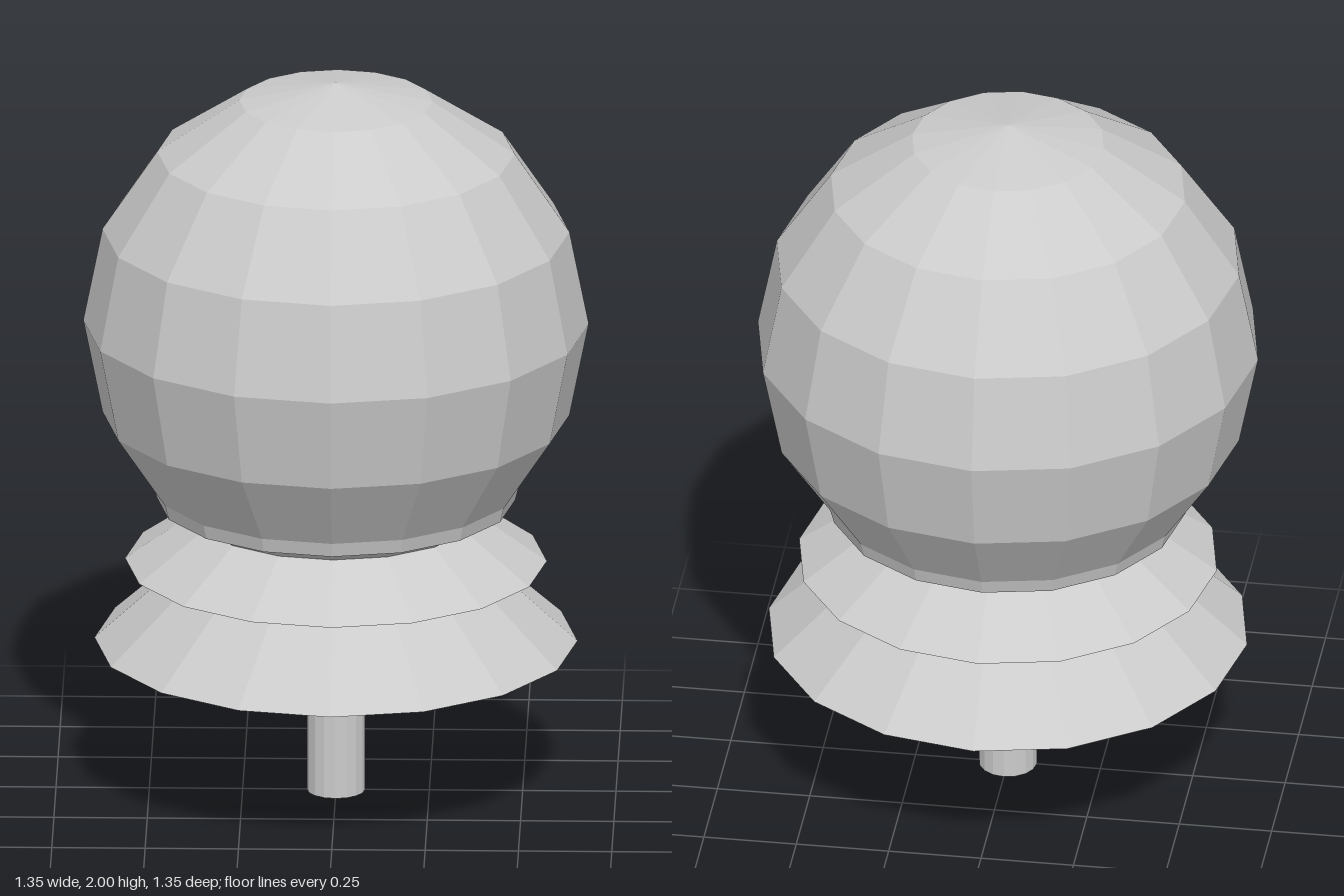
import * as THREE from 'three';

const SIDES = 16;

export function createModel() {
  const model = new THREE.Group();
  model.name = 'globeLamp';
  const solid = new THREE.MeshStandardMaterial({ color: 0xcccccc, flatShading: true });
  const thin = new THREE.MeshStandardMaterial({ color: 0xcccccc, flatShading: true, side: THREE.DoubleSide });

  function add(name, geometry, material, y) {
    const mesh = new THREE.Mesh(geometry, material);
    mesh.name = name;
    mesh.position.y = y;
    model.add(mesh);
  }

  // Faceted ring or column between two heights
  function frustum(name, rTop, yTop, rBottom, yBottom, open) {
    const geometry = new THREE.CylinderGeometry(rTop, rBottom, yTop - yBottom, SIDES, 1, open);
    add(name, geometry, open ? thin : solid, (yTop + yBottom) / 2);
  }

  // Globe, with the cup inside it whose lip shows at the lower edge
  add('globe', new THREE.SphereGeometry(0.677, SIDES, 8), solid, 1.323);
  frustum('globeCup', 0.648, 1.46, 0.48, 0.822, false);

  // Two flared skirts, open underneath
  frustum('upperSkirt', 0.32, 0.822, 0.565, 0.65, true);
  frustum('lowerSkirt', 0.34, 0.705, 0.647, 0.425, true);

  // Tapered socket around the post
  frustum('socket', 0.24, 0.7, 0.127, 0.49, true);

  // Post
  frustum('post', 0.078, 0.7, 0.078, 0, false);

  return model;
}
